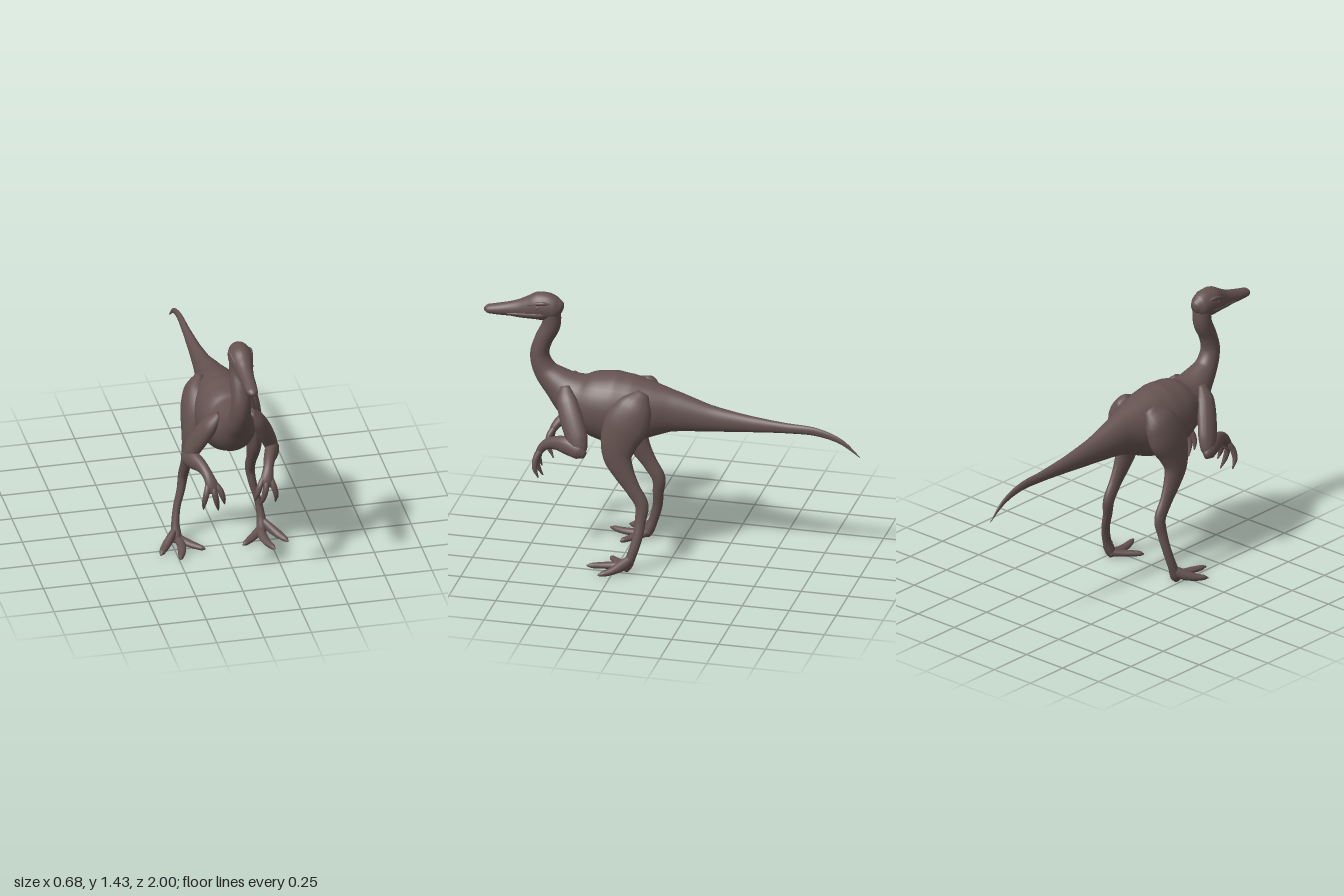
import * as THREE from 'three';

const skin = new THREE.MeshStandardMaterial({ color: 0x655350 });
skin.name = 'brown skin';

// Smooth elliptical loft; each section is [x, y, z, halfWidth, halfDepth]
function loft(name, sections, steps = 5, sides = 18) {
  const path = new THREE.CatmullRomCurve3(sections.map(s => new THREE.Vector3(s[0], s[1], s[2])));
  const size = new THREE.CatmullRomCurve3(sections.map(s => new THREE.Vector3(s[3], s[4], 0)));
  const rings = (sections.length - 1) * steps;
  const pos = [], idx = [];
  for (let i = 0; i <= rings; i++) {
    const t = i / rings;
    const c = path.getPoint(t), r = size.getPoint(t), T = path.getTangent(t);
    const side = new THREE.Vector3(1, 0, 0).addScaledVector(T, -T.x).normalize();
    const up = new THREE.Vector3().crossVectors(T, side);
    for (let j = 0; j < sides; j++) {
      const a = (j / sides) * Math.PI * 2;
      const p = c.clone()
        .addScaledVector(side, Math.max(r.x, 0.001) * Math.cos(a))
        .addScaledVector(up, Math.max(r.y, 0.001) * Math.sin(a));
      pos.push(p.x, p.y, p.z);
    }
  }
  for (let i = 0; i < rings; i++) {
    for (let j = 0; j < sides; j++) {
      const k = (j + 1) % sides, a = i * sides + j, b = i * sides + k;
      idx.push(a, b, a + sides, b, b + sides, a + sides);
    }
  }
  // end caps
  const ends = [sections[0], sections[sections.length - 1]];
  ends.forEach((s, e) => {
    const c = pos.length / 3, base = e * rings * sides;
    pos.push(s[0], s[1], s[2]);
    for (let j = 0; j < sides; j++) {
      const a = base + j, b = base + (j + 1) % sides;
      if (e) idx.push(c, a, b); else idx.push(c, b, a);
    }
  });
  const g = new THREE.BufferGeometry();
  g.setAttribute('position', new THREE.Float32BufferAttribute(pos, 3));
  g.setIndex(idx);
  g.computeVertexNormals();
  const m = new THREE.Mesh(g, skin);
  m.name = name;
  return m;
}

// Tail, torso and neck in one sweep: [z, y, halfWidth, halfHeight]
const spine = [
  [-1, 0.68, 0.002, 0.002], [-0.9, 0.757, 0.008, 0.014], [-0.77, 0.798, 0.013, 0.022],
  [-0.6, 0.803, 0.02, 0.028], [-0.4, 0.806, 0.032, 0.046], [-0.2, 0.815, 0.05, 0.073],
  [0, 0.835, 0.082, 0.115], [0.1, 0.835, 0.115, 0.148], [0.2, 0.83, 0.145, 0.18],
  [0.3, 0.825, 0.16, 0.195], [0.4, 0.837, 0.155, 0.178], [0.5, 0.86, 0.125, 0.14],
  [0.6, 0.925, 0.085, 0.09], [0.675, 0.995, 0.058, 0.062], [0.705, 1.08, 0.05, 0.05],
  [0.685, 1.165, 0.048, 0.047], [0.645, 1.25, 0.049, 0.049], [0.638, 1.34, 0.05, 0.045],
];

// Skull and snout: [z, y, halfWidth, halfHeight]
const skull = [
  [0.583, 1.338, 0.01, 0.012], [0.593, 1.342, 0.032, 0.044], [0.62, 1.346, 0.052, 0.063],
  [0.66, 1.352, 0.06, 0.075], [0.7, 1.352, 0.062, 0.077], [0.75, 1.34, 0.054, 0.064],
  [0.8, 1.328, 0.043, 0.052], [0.86, 1.32, 0.036, 0.039], [0.93, 1.311, 0.033, 0.03],
  [0.98, 1.306, 0.028, 0.023], [1, 1.303, 0.01, 0.009],
];

const thighAndShin = [
  [0.09, 0.96, 0.13, 0.02, 0.03], [0.125, 0.89, 0.165, 0.055, 0.095],
  [0.145, 0.8, 0.205, 0.06, 0.118], [0.157, 0.71, 0.24, 0.053, 0.102],
  [0.168, 0.62, 0.248, 0.041, 0.078], [0.172, 0.54, 0.217, 0.034, 0.058],
  [0.175, 0.45, 0.165, 0.025, 0.041], [0.177, 0.365, 0.117, 0.025, 0.036],
  [0.19, 0.28, 0.122, 0.021, 0.029], [0.213, 0.19, 0.132, 0.019, 0.026],
  [0.226, 0.1, 0.158, 0.022, 0.025], [0.226, 0.045, 0.18, 0.028, 0.028],
  [0.226, 0.012, 0.195, 0.018, 0.02],
];

const toes = {
  outerToe: [[0.222, 0.085, 0.155, 0.015, 0.02], [0.26, 0.05, 0.2, 0.022, 0.028],
    [0.3, 0.028, 0.25, 0.022, 0.02], [0.325, 0.02, 0.29, 0.016, 0.014], [0.337, 0.014, 0.312, 0.003, 0.003]],
  middleToe: [[0.222, 0.035, 0.17, 0.02, 0.022], [0.215, 0.027, 0.24, 0.023, 0.02],
    [0.225, 0.024, 0.31, 0.021, 0.017], [0.242, 0.024, 0.365, 0.014, 0.014], [0.25, 0.025, 0.392, 0.003, 0.004]],
  innerToe: [[0.222, 0.035, 0.175, 0.02, 0.022], [0.185, 0.026, 0.22, 0.023, 0.018],
    [0.145, 0.022, 0.262, 0.02, 0.016], [0.115, 0.02, 0.29, 0.014, 0.013], [0.1, 0.018, 0.302, 0.003, 0.004]],
};

const upperArm = [
  [0.085, 0.95, 0.55, 0.015, 0.025], [0.125, 0.885, 0.53, 0.038, 0.055],
  [0.165, 0.805, 0.495, 0.042, 0.062], [0.2, 0.725, 0.46, 0.04, 0.06],
  [0.22, 0.665, 0.44, 0.033, 0.045], [0.228, 0.63, 0.43, 0.015, 0.02],
];
const forearm = [
  [0.238, 0.64, 0.405, 0.012, 0.018], [0.228, 0.655, 0.44, 0.032, 0.044],
  [0.207, 0.67, 0.5, 0.036, 0.05], [0.18, 0.668, 0.57, 0.03, 0.038],
  [0.16, 0.645, 0.63, 0.027, 0.027], [0.145, 0.6, 0.667, 0.033, 0.02],
  [0.14, 0.565, 0.678, 0.026, 0.014],
];
const fingers = [
  [[0.165, 0.61, 0.66], [0.178, 0.565, 0.682], [0.19, 0.515, 0.684], [0.19, 0.465, 0.665]],
  [[0.142, 0.61, 0.662], [0.135, 0.56, 0.688], [0.122, 0.5, 0.684], [0.11, 0.447, 0.66]],
  [[0.128, 0.61, 0.66], [0.105, 0.575, 0.68], [0.09, 0.53, 0.685], [0.08, 0.488, 0.672]],
];
const fingerRadius = [0.014, 0.016, 0.013, 0.003];

const brow = [[0.045, 1.385, 0.64, 0.004, 0.004], [0.053, 1.388, 0.68, 0.011, 0.011],
  [0.046, 1.377, 0.73, 0.01, 0.009], [0.034, 1.355, 0.79, 0.004, 0.004]];
const cheek = [[0.047, 1.325, 0.65, 0.004, 0.006], [0.052, 1.32, 0.7, 0.009, 0.013],
  [0.041, 1.31, 0.78, 0.007, 0.01], [0.032, 1.303, 0.87, 0.003, 0.004]];

export function createModel() {
  const model = new THREE.Group();
  const central = ([z, y, a, b]) => [0, y, z, a, b];
  model.add(loft('tailTorsoAndNeck', spine.map(central), 6, 32));
  model.add(loft('head', skull.map(central), 5, 28));

  // paired parts
  for (const s of [1, -1]) {
    const label = s > 0 ? 'left' : 'right';
    const flip = list => list.map(([x, ...rest]) => [s * x, ...rest]);
    const add = (group, name, list) => group.add(loft(name, flip(list)));

    const leg = new THREE.Group();
    leg.name = label + 'Leg';
    add(leg, 'thighAndShin', thighAndShin);
    for (const [name, list] of Object.entries(toes)) add(leg, name, list);

    const arm = new THREE.Group();
    arm.name = label + 'Arm';
    add(arm, 'upperArm', upperArm);
    add(arm, 'forearmAndPalm', forearm);
    fingers.forEach((f, n) => add(arm, 'finger' + (n + 1),
      f.map((p, i) => [...p, fingerRadius[i], fingerRadius[i]])));

    const face = new THREE.Group();
    face.name = label + 'Face';
    add(face, 'browRidge', brow);
    add(face, 'cheekRidge', cheek);
    const eye = new THREE.Mesh(new THREE.SphereGeometry(0.011, 14, 10), skin);
    eye.name = 'eye';
    eye.position.set(s * 0.053, 1.362, 0.705);
    face.add(eye);

    model.add(leg, arm, face);
  }
  return model;
}
